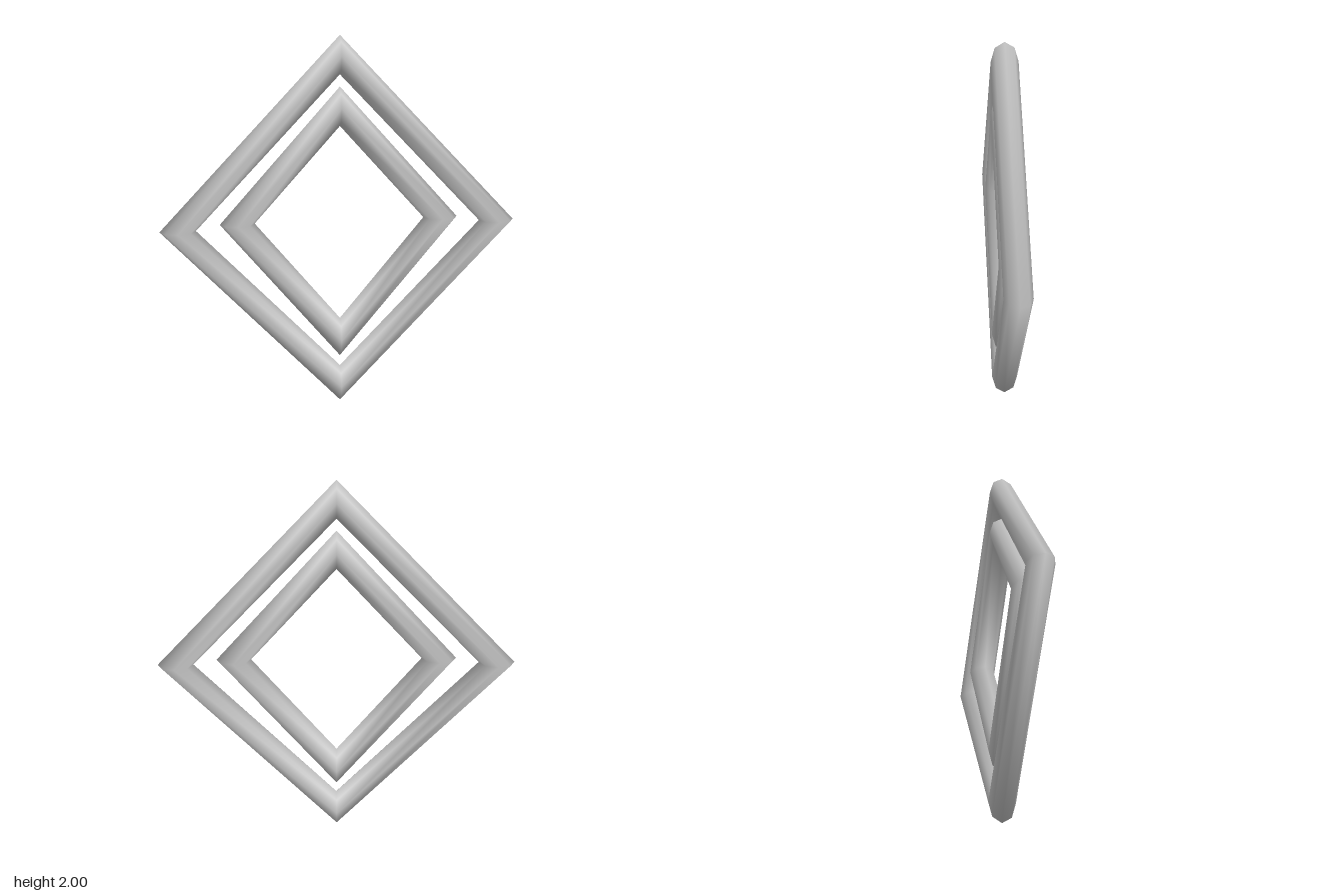
import * as THREE from 'three';

const TUBE = 0.1;

// Four-sided ring of mitred octagonal tube; each corner gives [inner, outer] distance from the centre
function diamondRing(name, material, centreY, { side, top, bottom }) {
  const geometry = new THREE.TorusGeometry(1, TUBE, 8, 4);
  const pos = geometry.attributes.position;
  for (let i = 0; i < pos.count; i++) {
    const x = pos.getX(i), y = pos.getY(i);
    const across = (Math.hypot(x, y) - 1) / TUBE; // -1 inner edge, +1 outer edge
    const vertical = Math.abs(y) > Math.abs(x);
    const [inner, outer] = !vertical ? side : y > 0 ? top : bottom;
    const reach = (inner + outer) / 2 + across * (outer - inner) / 2;
    pos.setXYZ(i,
      vertical ? 0 : Math.sign(x) * reach,
      vertical ? Math.sign(y) * reach : 0,
      pos.getZ(i) * 0.7);
  }
  const mesh = new THREE.Mesh(geometry, material);
  mesh.name = name;
  mesh.position.y = centreY;
  return mesh;
}

export function createModel() {
  const group = new THREE.Group();
  group.name = 'nestedDiamonds';
  const grey = new THREE.MeshStandardMaterial({ color: 0xc4c4c4 });
  grey.name = 'light grey';

  group.add(
    diamondRing('outerDiamond', grey, 1, { side: [0.756, 0.944], top: [0.8, 1], bottom: [0.795, 1] }),
    diamondRing('innerDiamond', grey, 1.028, { side: [0.45, 0.632], top: [0.505, 0.71], bottom: [0.548, 0.765] })
  );
  return group;
}
